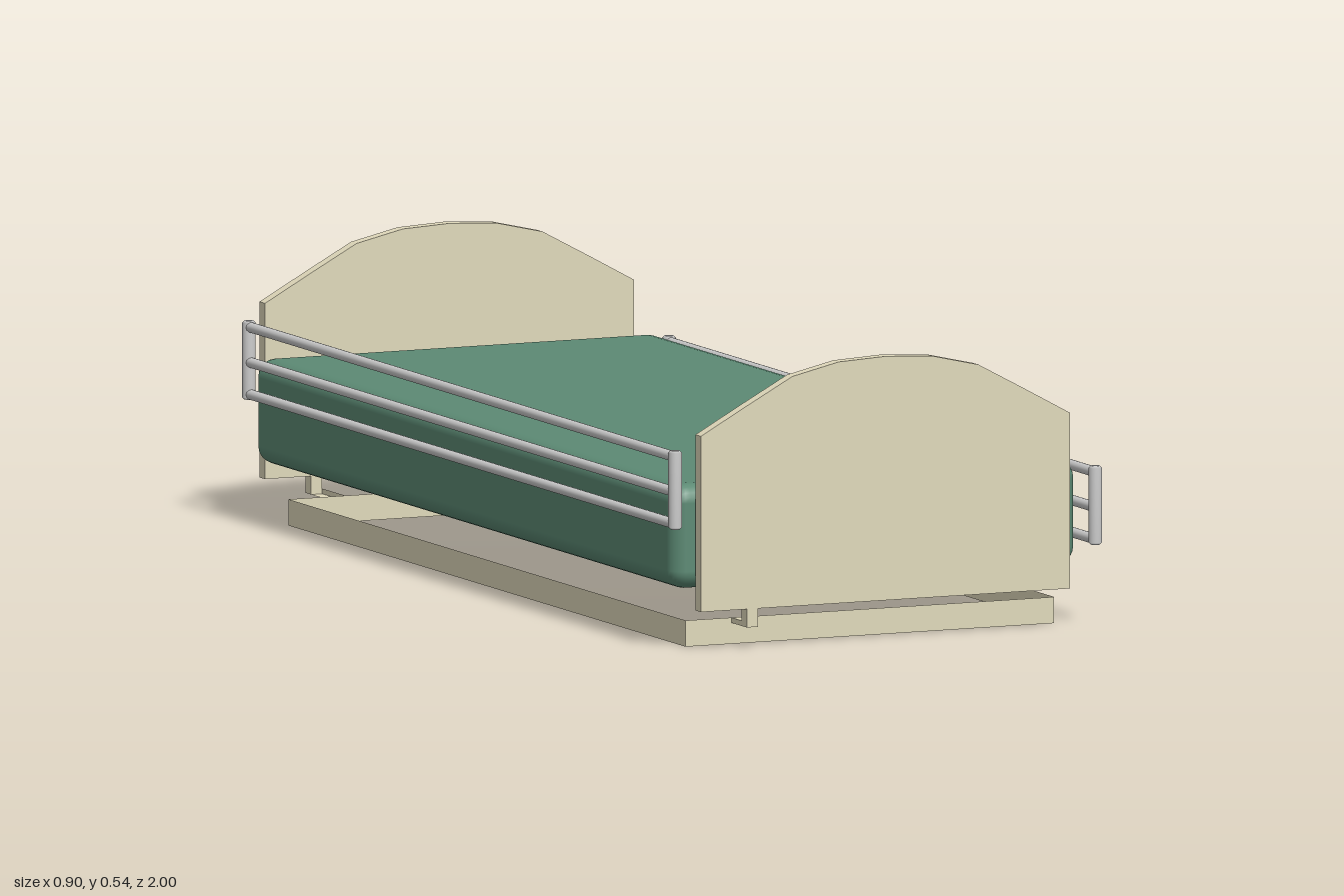
import * as THREE from 'three';
import { RoundedBoxGeometry } from 'three/addons/geometries/RoundedBoxGeometry.js';

export function createModel() {
  const model = new THREE.Group();
  model.name = 'bed';
  const wood = new THREE.MeshStandardMaterial({ color: 0xe0d9bb });
  const woodSheet = new THREE.MeshStandardMaterial({ color: 0xe0d9bb, side: THREE.DoubleSide });
  const fabric = new THREE.MeshStandardMaterial({ color: 0x5c8a74 });
  const metal = new THREE.MeshStandardMaterial({ color: 0xcccccc });

  const add = (parent, name, geometry, material, x, y, z) => {
    const mesh = new THREE.Mesh(geometry, material);
    mesh.name = name;
    mesh.position.set(x, y, z);
    parent.add(mesh);
    return mesh;
  };
  // Box given by its lower and upper corners
  const box = (parent, name, [x0, y0, z0], [x1, y1, z1]) =>
    add(parent, name, new THREE.BoxGeometry(x1 - x0, y1 - y0, z1 - z0), wood,
      (x0 + x1) / 2, (y0 + y1) / 2, (z0 + z1) / 2);

  // Mattress
  add(model, 'mattress', new RoundedBoxGeometry(0.84, 0.2, 1.915, 3, 0.035), fabric, -0.01, 0.213, 0.01);

  // Arched end boards
  const cx = -0.0075;
  const half = [[0.383, 0.075], [0.383, 0.41], [0.288, 0.462], [0.193, 0.513], [0.097, 0.535]];
  const outline = [
    ...half,
    [0, 0.54],
    ...half.map(([x, y]) => [-x, y]).reverse(),
  ].map(([x, y]) => new THREE.Vector2(x + cx, y));
  const boardGeometry = new THREE.ExtrudeGeometry(new THREE.Shape(outline), { depth: 0.025, bevelEnabled: false });
  add(model, 'footboard', boardGeometry, wood, 0, 0, 0.975);
  add(model, 'headboard', boardGeometry, wood, 0, 0, -1);

  // Thin open base frame
  const [x0, x1, z0, z1, h] = [-0.39, 0.375, -0.87, 0.93, 0.05];
  const frame = new THREE.Group();
  frame.name = 'baseFrame';
  model.add(frame);
  for (const z of [z0, z1]) {
    const end = add(frame, 'frameEnd', new THREE.PlaneGeometry(x1 - x0, h), woodSheet, cx, h / 2, z);
    if (z < 0) end.rotation.y = Math.PI;
  }
  for (const x of [x0, x1]) {
    const side = add(frame, 'frameSide', new THREE.PlaneGeometry(z1 - z0, h), woodSheet, x, h / 2, (z0 + z1) / 2);
    side.rotation.y = Math.sign(x) * Math.PI / 2;
  }

  // Brackets joining the boards to the frame: peg under the board and a flat arm
  box(model, 'footPeg', [-0.295, 0.04, 0.975], [-0.272, 0.075, 1]);
  box(model, 'footArm', [-0.295, 0.04, z1], [-0.272, 0.05, 0.975]);
  box(model, 'headPeg', [-0.295, 0.04, -1], [-0.272, 0.075, -0.975]);
  box(model, 'headArm', [-0.295, 0.04, z0], [-0.272, 0.05, -0.975]);

  // Side rails: two posts with softened ends and three bars
  const r = 0.013;
  const postGeometry = new THREE.LatheGeometry(
    [[0, -0.075], [0.009, -0.075], [r, -0.071], [r, 0.071], [0.009, 0.075], [0, 0.075]]
      .map(([x, y]) => new THREE.Vector2(x, y)), 16);
  const barGeometry = new THREE.CylinderGeometry(0.01, 0.01, 1.94, 12).rotateX(Math.PI / 2);
  const sideRail = (name, x, y) => {
    const rail = new THREE.Group();
    rail.name = name;
    rail.position.set(x, y, 0);
    for (const z of [-0.945, 0.987]) add(rail, 'railPost', postGeometry, metal, 0, 0, z);
    for (const dy of [-0.065, -0.004, 0.063]) add(rail, 'railBar', barGeometry, metal, 0, dy, 0.021);
    model.add(rail);
  };
  sideRail('leftRail', 0.434, 0.229);
  sideRail('rightRail', -0.438, 0.309);

  return model;
}
